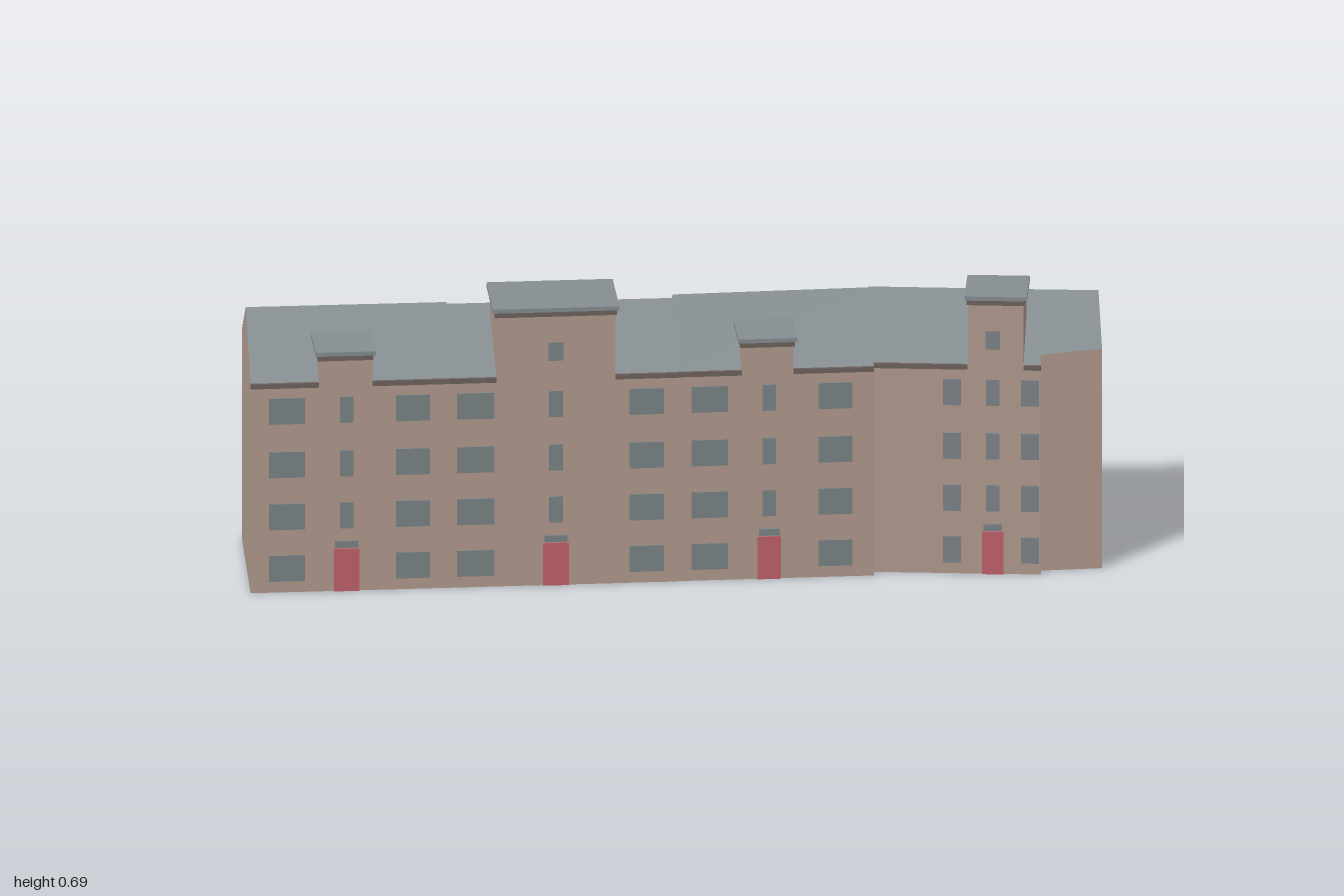
import * as THREE from 'three';

const mat = (name, color) => Object.assign(new THREE.MeshStandardMaterial({ color }), { name });

export function createModel() {
  const model = new THREE.Group();
  model.name = 'terraceBuilding';
  const wall = mat('wallBrown', 0xb09a8e);
  const slate = mat('slateGrey', 0x858d91);
  const glass = mat('windowGrey', 0x7b8386);
  const red = mat('doorRed', 0xc0606a);
  const trim = mat('trimDark', 0x6e635e);

  const add = (name, geo, material, parent = model) => {
    const m = new THREE.Mesh(geo, material);
    m.name = name;
    parent.add(m);
    return m;
  };

  // Flat convex polygons, corners counter-clockwise from outside
  const polys = (list) => {
    const pos = [];
    for (const p of list)
      for (let i = 1; i < p.length - 1; i++) pos.push(...p[0], ...p[i], ...p[i + 1]);
    const g = new THREE.BufferGeometry();
    g.setAttribute('position', new THREE.Float32BufferAttribute(pos, 3));
    g.computeVertexNormals();
    return g;
  };

  // House section lofted between two gables: [x, frontZ, frontY, ridgeZ, ridgeY, backZ, backY]
  const section = (name, a, b, openBack = false) => {
    const g = new THREE.Group();
    g.name = name;
    model.add(g);
    const ring = ([x, fz, fy, rz, ry, bz, by]) =>
      [[x, 0, fz], [x, fy, fz], [x, ry, rz], [x, by, bz], [x, 0, bz]];
    const L = ring(a), R = ring(b);
    const side = (i, j) => [L[i], R[i], R[j], L[j]];
    const walls = [side(0, 1), side(3, 4), side(4, 0), [...L], [...R].reverse()];
    if (openBack) walls.push(side(1, 3));
    add(name + 'Walls', polys(walls), wall, g);
    add(name + 'Roof', polys(openBack ? [side(1, 2)] : [side(1, 2), side(2, 3)]), slate, g);
  };

  section('farLeftHouse', [-1, 0.225, 0.52, 0.01, 0.633, -0.155, 0.52],
    [-0.53, 0.212, 0.52, 0.0, 0.633, -0.172, 0.52], true);
  section('midLeftHouse', [-0.53, 0.212, 0.52, 0.012, 0.633, -0.18, 0.52],
    [0, 0.197, 0.52, 0, 0.633, -0.195, 0.52]);
  section('midRightHouse', [0, 0.195, 0.52, -0.01, 0.638, -0.196, 0.525],
    [0.46, 0.18, 0.52, -0.035, 0.638, -0.208, 0.525]);
  section('cornerHouse', [0.46, 0.155, 0.52, -0.055, 0.633, -0.205, 0.553],
    [0.85, 0.195, 0.52, -0.014, 0.633, -0.217, 0.529]);
  section('endHouse', [0.85, 0.168, 0.535, -0.014, 0.633, -0.217, 0.529],
    [0.995, 0.158, 0.545, 0, 0.633, -0.221, 0.52]);

  // Rear projections
  section('rearBay', [0.11, -0.1, 0.5, -0.19, 0.531, -0.234, 0.515],
    [0.33, -0.1, 0.5, -0.19, 0.531, -0.235, 0.515]);
  add('rearStair', new THREE.BoxGeometry(0.195, 0.52, 0.09), wall).position.set(-0.768, 0.26, -0.165);
  add('rearStairRoof', new THREE.BoxGeometry(0.195, 0.006, 0.05), slate).position.set(-0.768, 0.523, -0.185);

  // Facades: start and end of the front wall, stair tower and window columns
  const facades = [
    { name: 'farLeft', x0: -1, z0: 0.225, x1: -0.53, z1: 0.212, tower: [-0.84, -0.715, 0.595, 0.13],
      cols: [[-0.915, 0.085], [-0.62, 0.08]], stair: -0.775, door: 0.06, extra: false },
    { name: 'midLeft', x0: -0.53, z0: 0.212, x1: 0, z1: 0.197, tower: [-0.425, -0.145, 0.69, 0.175],
      cols: [[-0.473, 0.088], [-0.072, 0.08]], stair: -0.285, door: 0.06, extra: true },
    { name: 'midRight', x0: 0, z0: 0.195, x1: 0.46, z1: 0.18, tower: [0.15, 0.272, 0.598, 0.125],
      cols: [[0.075, 0.085], [0.37, 0.08]], stair: 0.215, door: 0.055, extra: false },
    { name: 'corner', x0: 0.46, z0: 0.155, x1: 0.85, z1: 0.195, tower: [0.68, 0.81, 0.69, 0.135],
      cols: [[0.643, 0.042], [0.825, 0.042]], stair: 0.738, door: 0.05, extra: true },
  ];

  for (const f of facades) {
    const g = new THREE.Group();
    g.name = f.name + 'Facade';
    model.add(g);
    const angle = -Math.atan2(f.z1 - f.z0, f.x1 - f.x0);
    // Box set against the sloping front line, its front face "out" beyond the wall
    const block = (name, x, y, w, h, d, out, material) => {
      const z = f.z0 + (f.z1 - f.z0) * (x - f.x0) / (f.x1 - f.x0);
      const m = add(name, new THREE.BoxGeometry(w, h, d), material, g);
      m.position.set(x + Math.sin(angle) * (out - d / 2), y, z + Math.cos(angle) * (out - d / 2));
      m.rotation.y = angle;
    };

    // Stair tower with overhanging flat lid
    const [t0, t1, top, depth] = f.tower;
    const tx = (t0 + t1) / 2, tw = t1 - t0;
    block('tower', tx, (top + 0.5) / 2 - 0.005, tw, top - 0.51, depth, 0.001, wall);
    block('towerTrim', tx, top - 0.017, tw + 0.006, 0.012, depth + 0.006, 0.004, trim);
    block('towerLid', tx, top - 0.005, tw + 0.016, 0.01, depth + 0.016, 0.009, slate);

    // Eaves strips on both sides of the tower
    for (const [a, b] of [[f.x0, t0], [t1, f.x1]])
      block('eaves', (a + b) / 2, 0.514, b - a, 0.012, 0.012, 0.007, trim);

    // Windows on four floors
    [0.06, 0.188, 0.317, 0.45].forEach((y, i) => {
      for (const [x, w] of f.cols) block('window', x, y, w, 0.064, 0.008, 0.004, glass);
      if (i > 0) block('stairWindow', f.stair, y, 0.032, 0.064, 0.008, 0.004, glass);
    });
    if (f.extra) block('topWindow', f.stair, 0.58, 0.034, 0.045, 0.008, 0.004, glass);

    // Door and canopy
    block('door', f.stair, 0.0525, f.door, 0.105, 0.008, 0.004, red);
    block('doorCanopy', f.stair, 0.116, f.door - 0.006, 0.016, 0.009, 0.005, glass);
  }
  return model;
}
